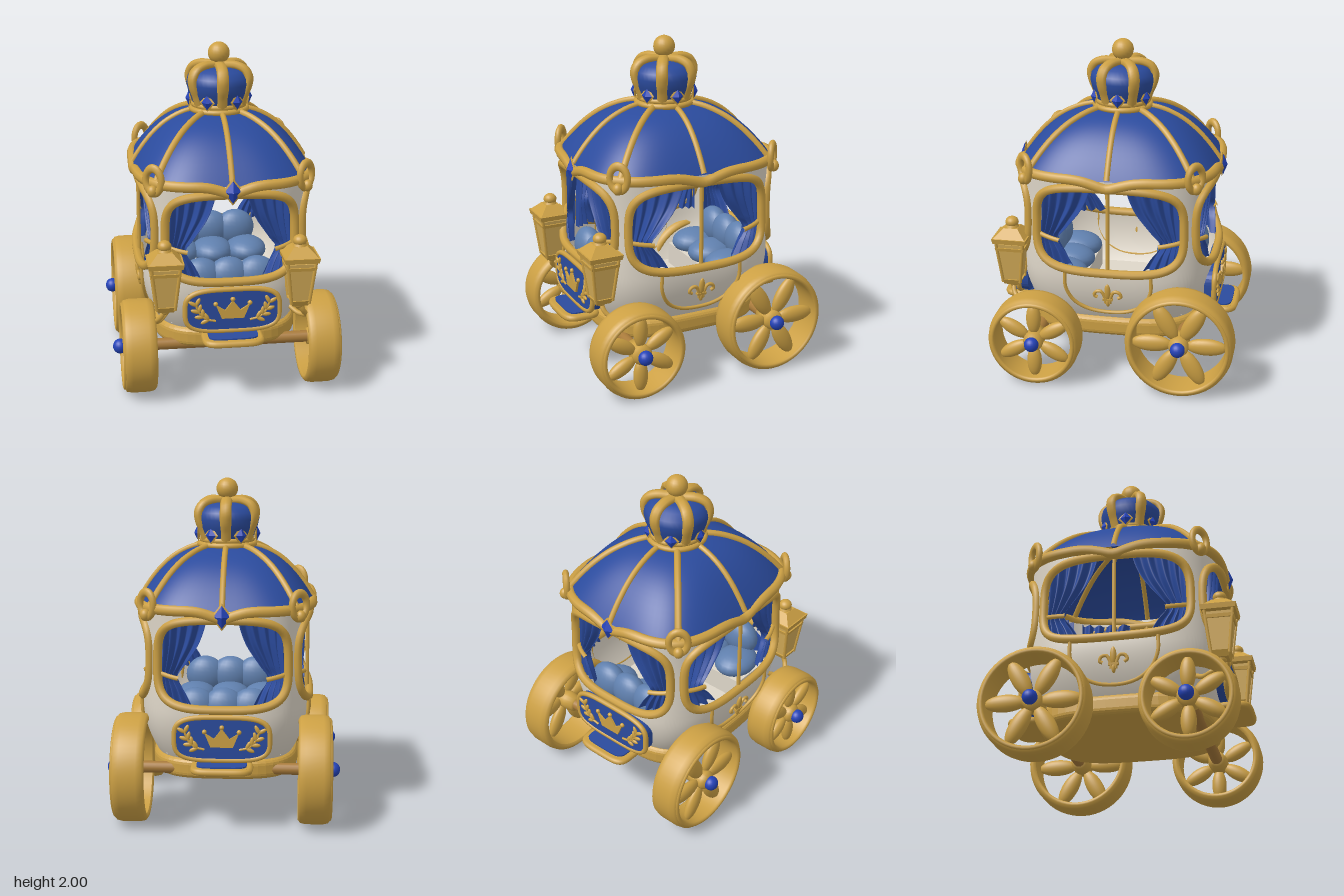
import * as THREE from 'three';
import { ParametricGeometry } from 'three/addons/geometries/ParametricGeometry.js';

const mat = (name, color, side = THREE.FrontSide) => {
  const m = new THREE.MeshStandardMaterial({ color, side });
  m.name = name;
  return m;
};
const V = (x, y, z) => new THREE.Vector3(x, y, z);

export function createModel() {
  const gold = mat('gold', 0xcca044), wood = mat('dark gold', 0xa87a3a), glass = mat('lamp glass', 0xd4ac58);
  const cream = mat('cream', 0xded6c8, THREE.DoubleSide);
  const blue = mat('royal blue', 0x2b4b9d, THREE.DoubleSide);
  const gem = mat('gem blue', 0x2443b8), cushion = mat('cushion blue', 0x6080ae);

  const group = (name, parent) => {
    const g = new THREE.Group();
    g.name = name;
    if (parent) parent.add(g);
    return g;
  };
  const add = (parent, name, geo, m, p = [0, 0, 0], r = [0, 0, 0], s = [1, 1, 1]) => {
    const mesh = new THREE.Mesh(geo, m);
    mesh.name = name;
    mesh.position.set(...p);
    mesh.rotation.set(...r);
    mesh.scale.set(...s);
    parent.add(mesh);
  };
  const ball = new THREE.SphereGeometry(1, 20, 14);
  const tube = (pts, r, closed = false, seg = 40) =>
    new THREE.TubeGeometry(new THREE.CatmullRomCurve3(pts, closed), seg, r, 8, closed);
  const flat = (g) => { const f = g.toNonIndexed(); f.computeVertexNormals(); return f; };
  const vec2 = (pts) => pts.map((p) => new THREE.Vector2(...p));
  const lathe = (pts, n = 40) => new THREE.LatheGeometry(vec2(pts), n);

  // Rounded-square plan: side 0 front, 1 +x, 2 back, 3 -x; u runs corner to corner
  const SQUARE = 3.4;
  const plan = (side, u, n = SQUARE) => {
    const s = Math.pow(1 + Math.abs(u) ** n, -1 / n);
    let c = [u * s, s];
    for (let i = 0; i < side; i++) c = [c[1], -c[0]];
    return c;
  };
  const halfWidth = (y) => (y < 0.68 ? 0.5 - (0.68 - y) ** 2 : 0.5 - 0.004 * (1 - Math.cos((y - 0.68) * 9)));
  const wall = (side, u, y, off = 0) => {
    const [cx, cz] = plan(side, u), a = halfWidth(y), b = a + 0.08;
    const slope = (c) => Math.sign(c) * Math.abs(c) ** (SQUARE - 1);
    const n = V(slope(cx) / a, 0, slope(cz) / b).normalize();
    return V(a * cx, y, b * cz).addScaledVector(n, off);
  };
  const windowEdge = (t) => {
    const c = Math.cos(t), s = Math.sin(t);
    const k = Math.pow(Math.abs(c) ** 3.1 + Math.abs(s) ** 3.1, -1 / 3.1);
    return [0.88 * c * k, 0.9725 + 0.2625 * s * k];
  };

  const model = group('royalCarriage');
  const cabin = group('cabin', model);
  cabin.position.z = 0.01;

  // Walls with windows, trims and curtains
  const body = group('body', cabin);
  const drape = new THREE.SplineCurve(vec2([[0.36, 0.73], [0.45, 0.81], [0.56, 0.89], [0.46, 0.96], [0.3, 1.07], [0.22, 1.16], [0.18, 1.235]]));
  for (let side = 0; side < 4; side++) {
    add(body, 'wall', new ParametricGeometry((p, q, out) => {
      const t = p * Math.PI * 2, c = Math.cos(t), s = Math.sin(t);
      const m = Math.max(Math.abs(c), Math.abs(s)), [wu, wy] = windowEdge(t);
      const ou = c / m, oy = 0.9725 + (s / m) * (s > 0 ? 0.3075 : 0.5925);
      out.copy(wall(side, wu + (ou - wu) * q, wy + (oy - wy) * q));
    }, 64, 10), cream);
    const rim = Array.from({ length: 40 }, (_, i) => wall(side, ...windowEdge((i / 40) * Math.PI * 2), 0.006));
    add(body, 'windowTrim', tube(rim, 0.026, true, 100), gold);
    for (const sx of [-1, 1]) {
      add(body, 'curtain', new ParametricGeometry((p, q, out) => {
        const e = drape.getPoint(q);
        out.copy(wall(side, sx * (e.x + (0.88 - e.x) * p), e.y, -0.035 + 0.02 * Math.sin(p * Math.PI * 9 + 1.5)));
      }, 54, 20), blue);
      const tie = [0.53, 0.62, 0.71, 0.8, 0.88].map((u, i) => wall(side, sx * u, 0.885 + 0.006 * i, -0.008));
      add(body, 'curtainTie', tube(tie, 0.014, false, 12), gold);
    }
  }

  // Base, floor and seats
  const baseShape = new THREE.Shape();
  for (let i = 0; i < 64; i++) {
    const [cx, cz] = plan(Math.floor(i / 16), ((i % 16) - 8) / 8);
    baseShape[i ? 'lineTo' : 'moveTo'](cx * 0.405, -cz * 0.485);
  }
  add(body, 'base', new THREE.ExtrudeGeometry(baseShape,
    { depth: 0.05, bevelThickness: 0.035, bevelSize: 0.035, bevelSegments: 4 }), gold, [0, 0.305, 0], [-Math.PI / 2, 0, 0]);
  add(body, 'floor', new THREE.ShapeGeometry(baseShape), cream, [0, 0.4, 0], [-Math.PI / 2, 0, 0]);
  const seats = group('seats', cabin);
  for (const sz of [-1, 1]) {
    add(seats, 'bench', new THREE.BoxGeometry(0.68, 0.14, 0.22), cream, [0, 0.47, sz * 0.31]);
    for (const x of [-0.22, 0, 0.22]) {
      add(seats, 'seatCushion', ball, cushion, [x, 0.58, sz * 0.33], [0, 0, 0], [0.13, 0.08, 0.15]);
      add(seats, 'backCushion', ball, cushion, [x * 0.75, 0.69, sz * 0.44], [0, 0, 0], [0.125, 0.12, 0.08]);
    }
  }

  // Roof, ribs and eave
  const roof = group('roof', cabin);
  const roofAt = (side, u, r, lift = 0) => {
    const [cx, cz] = plan(side, u, 2.2 + (SQUARE - 2.2) * r);
    return V(0.52 * r * cx, 1.285 + 0.32 * (1 - r ** 2.8) + lift, 0.592 * r * cz);
  };
  const eave = [];
  for (let side = 0; side < 4; side++) {
    add(roof, 'roofPanel', new ParametricGeometry((p, q, out) =>
      out.copy(roofAt(side, p * 2 - 1, 0.03 + 0.97 * q)), 24, 20), blue);
    for (const u of [0, 1]) {
      const pts = [0.2, 0.4, 0.6, 0.75, 0.87, 0.95, 1].map((r) => roofAt(side, u, r, 0.006));
      add(roof, 'roofRib', tube(pts, u ? 0.02 : 0.017), gold);
    }
    for (let i = 0; i < 16; i++) {
      const u = i / 8 - 1, p = roofAt(side, u, 0.995);
      p.y = 1.285 - 0.045 * Math.max(0, 1 - Math.abs(u) / 0.3);
      eave.push(p);
    }
    // Curled loop at each corner
    const c = roofAt(side, 1, 1.03);
    add(roof, 'cornerScroll', new THREE.TorusGeometry(0.055, 0.02, 10, 28), gold,
      [c.x, 1.31, c.z], [0, Math.atan2(c.x, c.z), 0], [1, 1.3, 1]);
    add(roof, 'cornerKnob', ball, gold, [c.x * 1.02, 1.25, c.z * 1.02], [0, 0, 0], [0.03, 0.035, 0.03]);
  }
  add(roof, 'eaveTrim', tube(eave, 0.031, true, 160), gold);

  // Crown on the roof
  const crown = group('crown', cabin);
  add(crown, 'crownBase', new THREE.TorusGeometry(0.165, 0.018, 10, 40), gold, [0, 1.605, 0], [Math.PI / 2, 0, 0]);
  add(crown, 'crownBand', new THREE.TorusGeometry(0.15, 0.018, 10, 40), gold, [0, 1.633, 0], [Math.PI / 2, 0, 0]);
  add(crown, 'crownCap', lathe([[0.14, 1.6], [0.16, 1.65], [0.183, 1.71], [0.194, 1.76], [0.185, 1.8], [0.15, 1.835], [0.09, 1.855], [0.001, 1.86]]), blue);
  add(crown, 'crownBall', ball, gold, [0, 1.935, 0], [0, 0, 0], [0.065, 0.065, 0.065]);
  const diamond = new THREE.OctahedronGeometry(1);
  for (let i = 0; i < 6; i++) {
    const a = (i * Math.PI) / 3, arm = group('crownArm', crown);
    arm.rotation.y = a;
    const path = [[0.145, 1.635], [0.163, 1.69], [0.188, 1.75], [0.194, 1.8], [0.17, 1.845], [0.115, 1.868], [0.05, 1.868], [0, 1.87]];
    const strap = tube(path.map(([r, y]) => V(0, y, r)), 0.024, false, 28);
    add(arm, 'crownStrap', strap, gold, [0, 0, 0], [0, 0, 0], [1.45, 1, 1]);
    const b = a + Math.PI / 6, at = (r) => [Math.sin(b) * r, 1.668, Math.cos(b) * r];
    add(crown, 'crownGemFrame', diamond, gold, at(0.175), [0, b, 0], [0.048, 0.056, 0.016]);
    add(crown, 'crownGem', diamond, gem, at(0.181), [0, b, 0], [0.036, 0.043, 0.02]);
  }

  // Crest panel, step and gem at front and back
  const oval = (hw, hh, n) => Array.from({ length: 48 }, (_, i) => {
    const t = (i / 48) * Math.PI * 2, c = Math.cos(t), s = Math.sin(t);
    const k = Math.pow(Math.abs(c) ** n + Math.abs(s) ** n, -1 / n);
    return V(hw * c * k, hh * s * k, 0);
  });
  const plate = (pts, depth) => new THREE.ExtrudeGeometry(new THREE.Shape(pts), { depth, bevelEnabled: false });
  const panelPts = oval(0.275, 0.127, 3.6);
  const crownPts = vec2([[-0.065, -0.05], [0.065, -0.05], [0.1, 0.035], [0.045, 0], [0, 0.06], [-0.045, 0], [-0.1, 0.035]]);
  for (const back of [0, 1]) {
    const end = group(back ? 'backEnd' : 'frontEnd', cabin);
    end.rotation.y = back * Math.PI;
    add(end, 'crestPanel', plate(panelPts, 0.07), blue, [0, 0.545, 0.545]);
    add(end, 'crestRim', tube(panelPts, 0.016, true, 90), gold, [0, 0.545, 0.605]);
    add(end, 'crestCrown', plate(crownPts, 0.018), gold, [0, 0.55, 0.61]);
    for (const [x, y] of [[-0.1, 0.59], [0, 0.616], [0.1, 0.59]])
      add(end, 'crestBead', ball, gold, [x, y, 0.62], [0, 0, 0], [0.014, 0.014, 0.013]);
    for (const sx of [-1, 1]) {
      const stem = [V(0.1, 0.485, 0.62), V(0.155, 0.5, 0.62), V(0.195, 0.54, 0.62), V(0.22, 0.605, 0.62)]
        .map((p) => V(p.x * sx, p.y, p.z));
      const curve = new THREE.CatmullRomCurve3(stem);
      add(end, 'laurelStem', tube(stem, 0.007, false, 16), gold);
      for (let i = 0; i < 4; i++) for (const d of [-1, 1]) {
        const p = curve.getPoint(0.25 + i * 0.22), tan = curve.getTangent(0.25 + i * 0.22);
        const a = Math.atan2(tan.y, tan.x) + d * 0.75;
        add(end, 'laurelLeaf', ball, gold, [p.x + Math.cos(a) * 0.022, p.y + Math.sin(a) * 0.022, 0.62],
          [0, 0, a], [0.028, 0.012, 0.009]);
      }
    }
    const stepPts = oval(0.162, 0.1, 4.5);
    add(end, 'step', plate(stepPts, 0.04), gold, [0, 0.355, 0.615], [-Math.PI / 2, 0, 0]);
    add(end, 'stepRim', tube(stepPts, 0.02, true, 80), gold, [0, 0.375, 0.615], [-Math.PI / 2, 0, 0]);
    add(end, 'stepPad', plate(oval(0.145, 0.083, 4.5), 0.008), blue, [0, 0.395, 0.615], [-Math.PI / 2, 0, 0]);
    add(end, 'gemFrame', diamond, gold, [0, 1.258, 0.605], [0, 0, 0], [0.062, 0.08, 0.022]);
    add(end, 'eaveGem', diamond, gem, [0, 1.258, 0.612], [0, 0, 0], [0.05, 0.066, 0.026]);
  }

  // Side doors: lower outline, window bar and lily ornament
  for (const sx of [-1, 1]) {
    const side = sx > 0 ? 1 : 3, door = group('door', cabin);
    const outline = [[0.45, 0.7], [0.45, 0.6], [0.38, 0.51], [0.23, 0.455], [0, 0.437]];
    const pts = [...outline, ...outline.slice(0, 4).reverse().map(([u, y]) => [-u, y])];
    add(door, 'doorOutline', tube(pts.map(([u, y]) => wall(side, u, y, 0.01)), 0.011), gold);
    add(door, 'windowBar', new THREE.CylinderGeometry(0.012, 0.012, 0.53, 10), gold, [sx * 0.493, 0.97, 0]);
    const lily = group('lilyOrnament', door);
    lily.position.set(sx * 0.501, 0.565, 0);
    lily.rotation.set(0.15, (sx * Math.PI) / 2, 0, 'YXZ');
    add(lily, 'middlePetal', ball, gold, [0, 0.025, 0], [0, 0, 0], [0.019, 0.055, 0.014]);
    add(lily, 'lilyTail', ball, gold, [0, -0.045, 0], [0, 0, 0], [0.013, 0.03, 0.012]);
    add(lily, 'lilyBand', new THREE.BoxGeometry(0.06, 0.014, 0.024), gold, [0, -0.022, 0]);
    for (const d of [-1, 1]) {
      const curl = [[0.012, -0.05], [0.018, -0.01], [0.04, 0.03], [0.07, 0.025], [0.08, 0], [0.062, -0.012]];
      add(lily, 'sidePetal', tube(curl.map(([x, y]) => V(d * x, y, 0)), 0.01, false, 24), gold);
    }
  }

  // Wheels and axles, spokes shaped like petals
  for (const [z, R, spin] of [[0.445, 0.277, Math.PI / 6], [-0.43, 0.322, 0]]) {
    add(model, 'axle', new THREE.CylinderGeometry(0.035, 0.035, 1.1, 16), wood, [0, R, z], [0, 0, Math.PI / 2]);
    for (const sx of [-1, 1]) {
      const wheel = group(z > 0 ? 'frontWheel' : 'rearWheel', model);
      wheel.position.set(sx * 0.537, R, z);
      wheel.rotation.y = sx > 0 ? 0 : Math.PI;
      const i = R - 0.047;
      add(wheel, 'rim', lathe([[i, -0.085], [i + 0.01, -0.095], [R - 0.025, -0.095], [R - 0.007, -0.082], [R, -0.05],
        [R, 0.05], [R - 0.007, 0.082], [R - 0.025, 0.095], [i + 0.01, 0.095], [i, 0.085], [i, -0.085]], 56), gold, [0, 0, 0], [0, 0, -Math.PI / 2]);
      add(wheel, 'rimRing', new THREE.TorusGeometry(R - 0.032, 0.014, 8, 56), gold, [0.088, 0, 0], [0, Math.PI / 2, 0]);
      add(wheel, 'hub', lathe([[0.001, -0.06], [0.05, -0.06], [0.06, 0], [0.06, 0.07], [0.045, 0.095], [0.001, 0.1]], 24), gold, [0, 0, 0], [0, 0, -Math.PI / 2]);
      add(wheel, 'hubGem', ball, gem, [0.11, 0, 0], [0, 0, 0], [0.042, 0.044, 0.044]);
      for (let k = 0; k < 6; k++) {
        const a = spin + (k * Math.PI) / 3, mid = (0.05 + i) / 2;
        add(wheel, 'petalSpoke', ball, gold, [0.04, Math.sin(a) * mid, Math.cos(a) * mid], [-a, 0, 0],
          [0.035, R * 0.16, (i - 0.03) / 2]);
      }
    }
  }

  // Front lanterns, square and tapered
  const square = (top, bottom, h) =>
    flat(new THREE.CylinderGeometry(top * Math.SQRT2, bottom * Math.SQRT2, h, 4).rotateY(Math.PI / 4));
  for (const sx of [-1, 1]) {
    const lamp = group('lantern', model);
    lamp.position.set(sx * 0.39, 0, 0.61);
    add(lamp, 'lampGlass', square(0.081, 0.051, 0.24), glass, [0, 0.71, 0]);
    for (const [x, z] of [[1, 1], [1, -1], [-1, 1], [-1, -1]])
      add(lamp, 'lampPost', tube([V(x * 0.052, 0.58, z * 0.052), V(x * 0.082, 0.84, z * 0.082)], 0.01, false, 2), gold);
    add(lamp, 'lampFoot', square(0.062, 0.045, 0.035), gold, [0, 0.58, 0]);
    add(lamp, 'lampBand', square(0.088, 0.084, 0.02), gold, [0, 0.8, 0]);
    add(lamp, 'lampEave', square(0.104, 0.098, 0.03), gold, [0, 0.855, 0]);
    add(lamp, 'lampHat', square(0.042, 0.098, 0.055), gold, [0, 0.895, 0]);
    add(lamp, 'lampNeck', new THREE.CylinderGeometry(0.03, 0.045, 0.03, 16), gold, [0, 0.93, 0]);
    add(lamp, 'lampBall', ball, gold, [0, 0.952, 0], [0, 0, 0], [0.04, 0.034, 0.04]);
    add(lamp, 'lampKnob', ball, gold, [0, 0.56, 0], [0, 0, 0], [0.03, 0.025, 0.03]);
    const arm = [V(0, 0.56, 0), V(sx * 0.03, 0.51, -0.01), V(sx * 0.055, 0.47, -0.05), V(sx * 0.02, 0.46, -0.1), V(-sx * 0.03, 0.49, -0.16)];
    add(lamp, 'lampBracket', tube(arm, 0.015, false, 24), gold);
  }
  return model;
}
